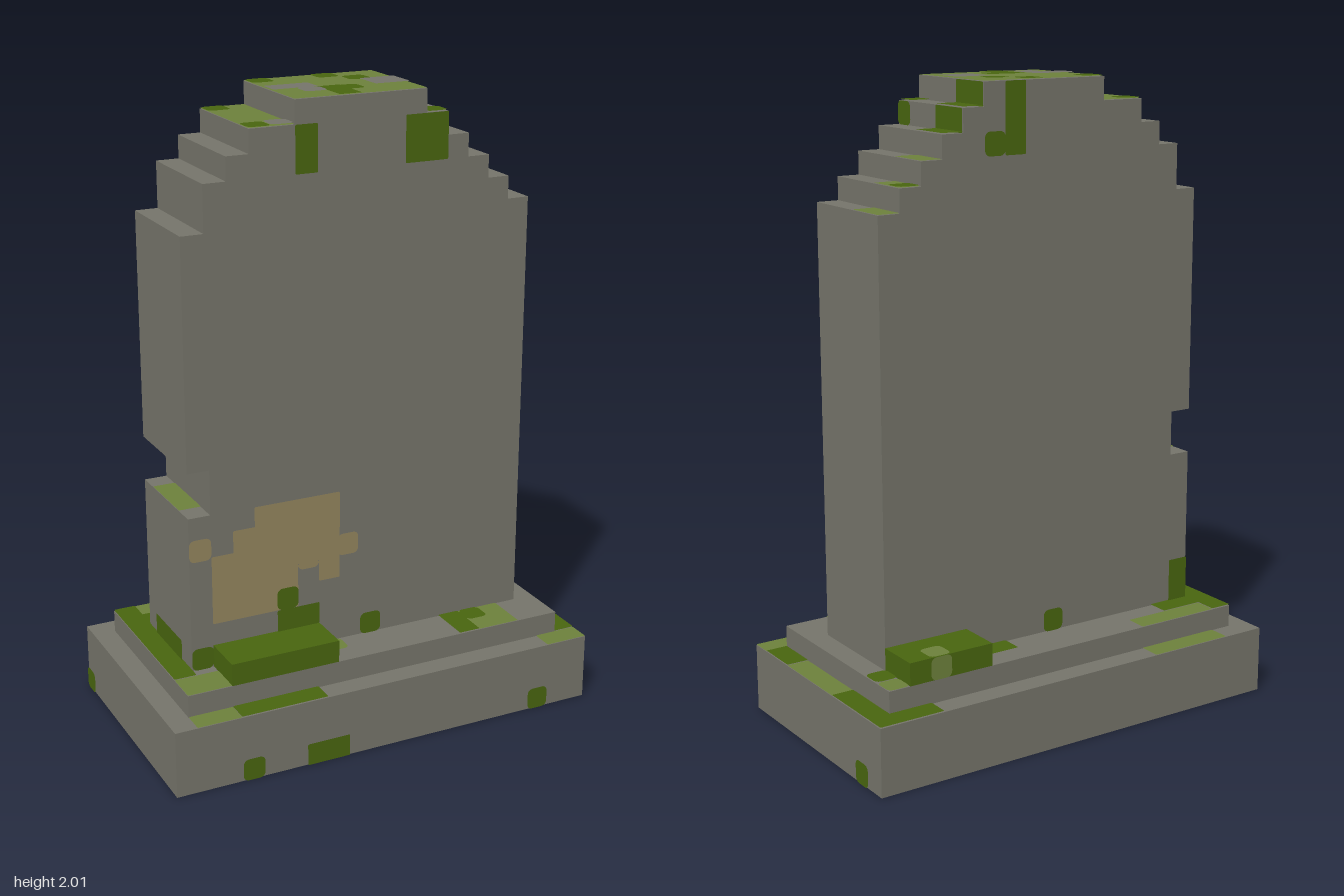
import * as THREE from 'three';
import { mergeGeometries } from 'three/addons/utils/BufferGeometryUtils.js';

const U = 1 / 14; // block unit: the stone is 28 blocks tall

const material = (name, color) => {
  const m = new THREE.MeshStandardMaterial({ color });
  m.name = name;
  return m;
};

// Block resting on height y, centred on (x, z), sizes in block units
function block(name, mat, x, y, z, w, h, d) {
  const g = new THREE.BoxGeometry(w * U, h * U, d * U);
  g.translate(x * U, (y + h / 2) * U, z * U);
  const mesh = new THREE.Mesh(g, mat);
  mesh.name = name;
  return mesh;
}

// Rectangle with its four corners rounded
function roundedRect(x, y, w, h, r) {
  const s = new THREE.Shape();
  const corners = [[x + w - r, y + r], [x + w - r, y + h - r], [x + r, y + h - r], [x + r, y + r]];
  corners.forEach(([cx, cy], i) => s.absarc(cx, cy, r, (i - 1) * Math.PI / 2, i * Math.PI / 2));
  return s;
}

// Turn a patch drawn in the XY plane onto a facing at distance d
const FACES = {
  top: (g, d) => g.rotateX(-Math.PI / 2).translate(0, d, 0),
  front: (g, d) => g.translate(0, 0, d),
  back: (g, d) => g.rotateY(Math.PI).translate(0, 0, -d),
  right: (g, d) => g.rotateY(Math.PI / 2).translate(d, 0, 0),
  left: (g, d) => g.rotateY(-Math.PI / 2).translate(-d, 0, 0),
};

// Flat patches on one surface: [a, b, width = 1, height = 1] in block units.
// a, b are the low corner: x, z on top; x, y on front and back; z, y on the sides.
function patches(name, mat, lift, face, distance, ...rects) {
  const geos = rects.map(([a, b, w = 1, h = 1]) => {
    const left = face === 'back' || face === 'right' ? -a - w : a;
    const low = face === 'top' ? -b - h : b;
    const radius = w * h <= 1 ? 0.25 : 0.06;
    const g = new THREE.ShapeGeometry(roundedRect(left * U, low * U, w * U, h * U, radius * U), 4);
    return FACES[face](g, distance * U + lift);
  });
  const mesh = new THREE.Mesh(mergeGeometries(geos), mat);
  mesh.name = name;
  return mesh;
}

// Slab outline: even steps on the right, worn steps and a chip on the left
function slabShape() {
  const points = [[-8, 4], [8, 4]];
  for (let i = 0; i < 5; i++) points.push([8 - i, 23 + i], [7 - i, 23 + i]);
  points.push([3, 28]);
  let y = 28;
  for (const [x, nextY] of [[3, 27], [5, 26], [6, 25], [7, 23]]) {
    points.push([-x, y], [-x, nextY]);
    y = nextY;
  }
  points.push([-8, 23], [-8, 13], [-7, 13], [-7, 11], [-8, 11]);
  return new THREE.Shape(points.map(([px, py]) => new THREE.Vector2(px * U, py * U)));
}

export function createModel() {
  const stone = material('stone', 0x75746a);
  const darkMoss = material('darkMoss', 0x48650f);
  const paleMoss = material('paleMoss', 0x6d813b);
  const lichen = material('lichen', 0x93855d);
  const group = new THREE.Group();
  group.name = 'gravestone';

  // Each paint sits on its own thin layer
  const pale = (...args) => group.add(patches('paleMossPatch', paleMoss, 0.002, ...args));
  const dark = (...args) => group.add(patches('darkMossPatch', darkMoss, 0.004, ...args));
  const bare = (...args) => group.add(patches('bareStonePatch', stone, 0.006, ...args));

  // Plinth in two tiers
  group.add(block('base', stone, 0, 0, 0, 20, 3, 11));
  group.add(block('step', stone, 0, 3, 0, 18, 1, 9));

  // Upright slab
  const slabGeo = new THREE.ExtrudeGeometry(slabShape(), { depth: 5 * U, bevelEnabled: false });
  slabGeo.translate(0, 0, -2.5 * U);
  const slab = new THREE.Mesh(slabGeo, stone);
  slab.name = 'slab';
  group.add(slab);

  // Moss ledges at the foot of the slab
  group.add(block('frontMossLedge', darkMoss, -4.5, 4, 3.5, 5, 1, 2));
  group.add(block('backMossLedge', darkMoss, 6, 4, -3.5, 4, 1, 2));
  pale('top', 5, [6, -4.5]);
  pale('back', 4.5, [6, 4]);

  // Moss on the base
  pale('top', 3, [-8, -5.5, 4], [9, -1.5, 1, 4], [8, 4.5, 2], [-9, 4.5, 2]);
  dark('top', 3, [7, -5.5, 3], [9, -4.5, 1, 3], [9, 2.5, 1, 2], [-7, 4.5, 4]);
  dark('front', 5.5, [-7, 0], [-4, 0, 2], [7, 0]);
  dark('right', 10, [-4.5, 0]);
  dark('left', 10, [-5.5, 0]);

  // Moss on the step
  pale('top', 4, [-8, -4.5, 4], [-9, 3, 2, 1.5], [-2, 2.5], [5, 2.5, 2, 2], [8, -4.5]);
  dark('top', 4, [-9, -4.5, 1, 7.5], [-8, -3.5, 2], [4, 2.5, 1, 2], [5, 2.5], [2, -3.5, 2], [8, -3.5]);

  // Moss on the crown and its treads
  pale('top', 28, [-3, -2.5, 6, 5]);
  dark('top', 28, [-3, -2.5], [0, -2.5], [1, -1.5], [-1, 0.4, 1, 2.1], [-0.3, 0.5]);
  bare('top', 28, [-3, -0.5, 2], [-2, 0.5], [1.4, -0.5, 1.6, 1.5]);
  pale('top', 27, [-5, -2.5, 2, 5]);
  dark('top', 27, [-5, -2.5], [-5, 1.5], [3, -2.5, 1, 2], [3, 1.5]);
  bare('top', 27, [-4, 1.5]);
  dark('top', 26, [4, -2.5, 1, 2]);
  for (let i = 0; i < 3; i++) pale('top', 25 - i, [5 + i, -2.5, 1, 2]);
  dark('top', 24, [6, -2.5]);

  // Moss on the slab faces
  pale('top', 11, [-8, -1.5, 1, 3]);
  dark('front', 2.5, [-3, 25, 1, 2], [2, 25, 2, 2], [-4, 5, 2], [-4, 6], [-8, 4], [0, 4]);
  dark('back', 2.5, [1, 25, 1, 3], [2, 25], [-8, 4, 1, 2], [-1, 4]);
  dark('right', 4, [1.5, 26], [-2.5, 26, 2]);
  dark('right', 3, [-2.5, 27, 2]);
  dark('left', 8, [-1.5, 4, 3]);

  // Lichen stain on the front face
  group.add(patches('lichenStain', lichen, 0.002, 'front', 2.5,
    [-5, 9.9, 4, 1.1], [-6, 9, 5, 1.1], [-7, 8, 6, 1.1], [-7, 6, 4, 2.1],
    [-3, 7.7, 1, 0.4], [-2, 7, 1, 1.1], [-1.1, 8], [-8, 9]));

  return group;
}
